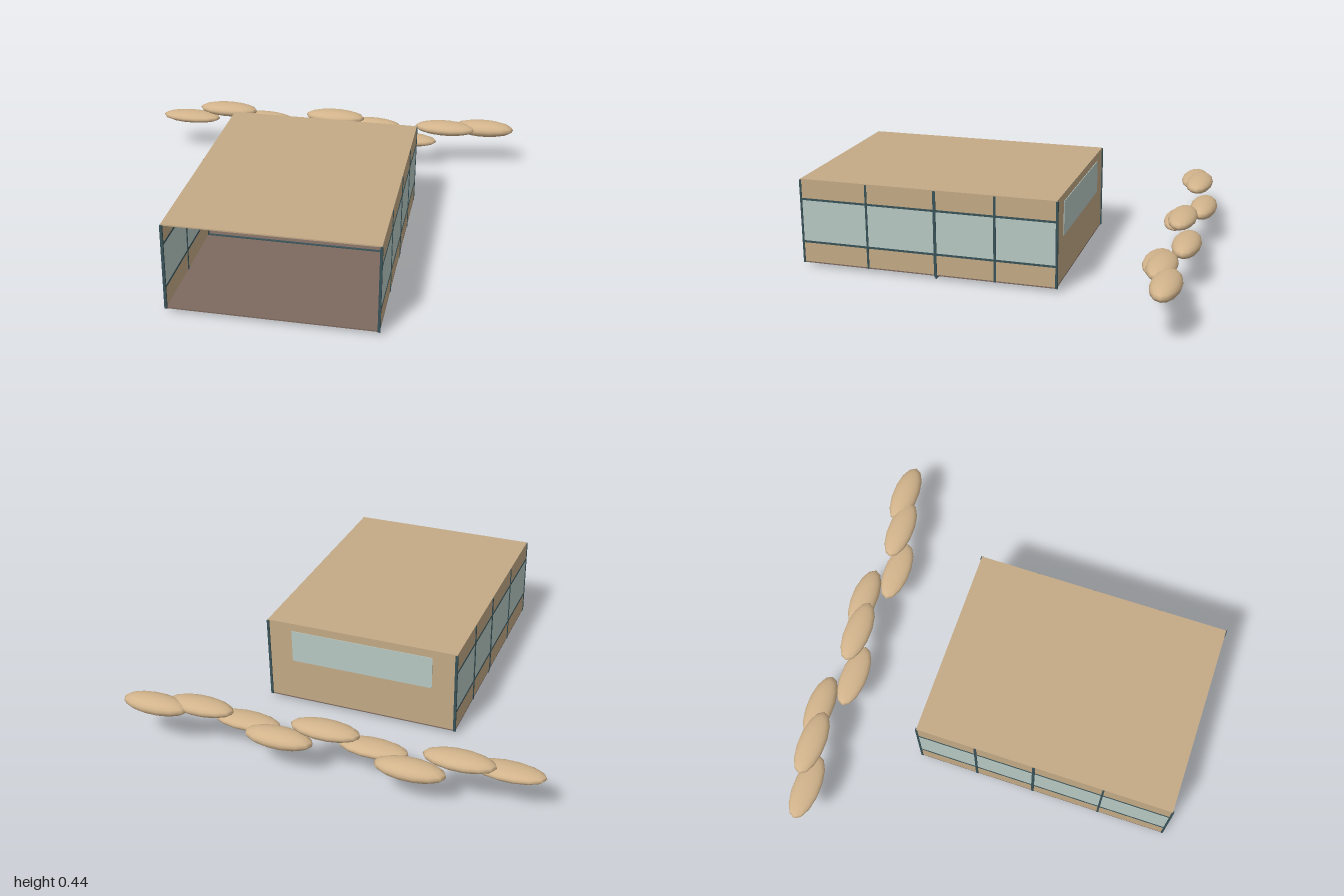
import * as THREE from 'three';

export function createModel() {
  const model = new THREE.Group();
  const mat = (name, color) => Object.assign(new THREE.MeshStandardMaterial({ color }), { name });
  const tan = mat('tan panel', 0xc4aa86);
  const sand = mat('warm sand', 0xd2b48c);
  const glass = mat('pale glass', 0xb8c9c4);
  const frame = mat('dark teal', 0x3a5358);
  const brown = mat('brown floor', 0x7d695f);

  const add = (name, geometry, material, x, y, z, parent = model) => {
    const mesh = new THREE.Mesh(geometry, material);
    mesh.name = name;
    mesh.position.set(x, y, z);
    parent.add(mesh);
    return mesh;
  };
  // box given by its two extreme corners
  const box = (name, material, x0, x1, y0, y1, z0, z1, parent) =>
    add(name, new THREE.BoxGeometry(x1 - x0, y1 - y0, z1 - z0), material,
      (x0 + x1) / 2, (y0 + y1) / 2, (z0 + z1) / 2, parent);

  // cabin limits
  const L = -0.45, R = 0.51, B = 0.017, T = 0.44, zB = -0.33, zF = 0.935, mid = 0.03;
  const w = 0.006;

  // floor, roof and floor crossbar
  box('floor', brown, L, R, B, B + w, zB, zF);
  box('roof', tan, L, R, T - w, T, zB, zF);
  box('floorCrossbar', frame, L, R, 0.008, 0.027, 0.252, 0.264);
  box('crossbarSeal', frame, L, R, 0, 0.008, 0.256, 0.26);

  // glazed side walls
  for (const side of [-1, 1]) {
    const wall = new THREE.Group();
    wall.name = side < 0 ? 'rightWall' : 'leftWall';
    model.add(wall);
    const x0 = side < 0 ? L : R - w, x1 = x0 + w;
    box('lowerPanel', tan, x0, x1, B + w, 0.125, zB, zF, wall);
    box('sideWindow', glass, x0, x1, 0.125, 0.34, zB, zF, wall);
    box('upperPanel', tan, x0, x1, 0.34, T - w, zB, zF, wall);
    for (const y of [0.125, 0.34])
      box('windowRail', frame, x0 - 0.002, x1 + 0.002, y - 0.005, y + 0.005, zB, zF, wall);
    [[zB, 0.005], [-0.035, 0.006], [0.258, 0.007], [0.6, 0.005], [zF, 0.005]].forEach(([z, h]) =>
      box('windowPost', frame, x0 - 0.003, x1 + 0.003, B, T - 0.004, z - h, z + h, wall));
  }

  // back wall with window and inner frame
  const [wl, wr, wb, wt] = [-0.33, 0.385, 0.235, 0.4];
  box('backWall', tan, L + w, R - w, B + w, T - w, zB, zB + w);
  box('backWindowOuter', glass, wl, wr, wb, wt, zB - 0.003, zB);
  box('backWindowInner', glass, wl, wr, wb, wt, zB + w, zB + w + 0.003);
  const f = 0.005;
  for (const y of [wb, wt]) box('backWindowRail', frame, wl - f, wr + f, y - f, y + f, zB + w, zB + 0.018);
  for (const x of [wl, wr]) box('backWindowStile', frame, x - f, x + f, wb, wt, zB + w, zB + 0.018);

  // curved jointed arms, mirrored about the cabin's middle
  for (const side of [-1, 1]) {
    const arm = new THREE.Group();
    arm.name = side < 0 ? 'rightArm' : 'leftArm';
    arm.position.set(mid, 0, 0.06);
    model.add(arm);
    const p = (x, y) => new THREE.Vector3(side * x, y, 0);
    const curve = new THREE.CatmullRomCurve3([p(0.455, 0.035), p(0.457, 0.1), p(0.448, 0.17), p(0.413, 0.245)]);
    add('armTube', new THREE.TubeGeometry(curve, 12, 0.018, 10), frame, 0, 0, 0, arm);
    for (const t of [0, 1]) {
      const end = curve.getPoint(t);
      add('armEnd', new THREE.SphereGeometry(0.018, 10, 6), frame, end.x, end.y, 0, arm).scale.y = 0.5;
    }
    // tapering beads and dark tip
    for (let i = 0; i < 5; i++) {
      const t = i / 4;
      add('armBead', new THREE.SphereGeometry(0.022 - 0.005 * t, 10, 8), sand,
        side * (0.405 - 0.075 * t), 0.255 + 0.052 * t, 0, arm);
    }
    const tip = add('armTip', new THREE.CylinderGeometry(0.016, 0.016, 0.03, 10), frame, side * 0.308, 0.32, 0, arm);
    tip.rotation.z = side * 1.25;
  }

  // round dial on a thin stalk, and a small screen
  const dial = add('dial', new THREE.CylinderGeometry(0.034, 0.034, 0.006, 20), tan, -0.32, 0.165, zB + 0.012);
  dial.rotation.x = Math.PI / 2;
  const stalk = new THREE.CatmullRomCurve3([
    new THREE.Vector3(-0.375, 0.225, zB + 0.015), new THREE.Vector3(-0.35, 0.225, zB + 0.015),
    new THREE.Vector3(-0.325, 0.19, zB + 0.015)]);
  add('dialStalk', new THREE.TubeGeometry(stalk, 10, 0.005, 6), sand, 0, 0, 0);
  box('screenBezel', frame, 0.329, 0.407, 0.147, 0.202, zB + w, zB + 0.012);
  box('screen', glass, 0.333, 0.403, 0.151, 0.198, zB + 0.012, zB + 0.016);

  // low console with feet showing under the floor
  box('consoleBody', glass, mid - 0.105, mid + 0.105, 0.023, 0.07, 0.05, 0.11);
  box('consoleFront', frame, mid - 0.08, mid + 0.08, 0.023, 0.065, 0.11, 0.125);
  for (const s of [-1, 1])
    box('consoleFoot', brown, mid + s * 0.045 - 0.015, mid + s * 0.045 + 0.015, 0.013, 0.023, 0.072, 0.088);

  // drifting row of flattened pebbles behind the cabin
  const heights = [0.2, 0.24, 0.172, 0.165, 0.245, 0.185, 0.163, 0.227, 0.222];
  heights.forEach((y, i) => {
    const k = i % 3;
    const pebble = add('pebble', new THREE.SphereGeometry(1, 14, 10), sand,
      -0.828 + i * 0.207, y, -0.778 - k * 0.05);
    pebble.scale.set(0.166, 0.031 + k * 0.006, 0.068);
  });

  return model;
}
